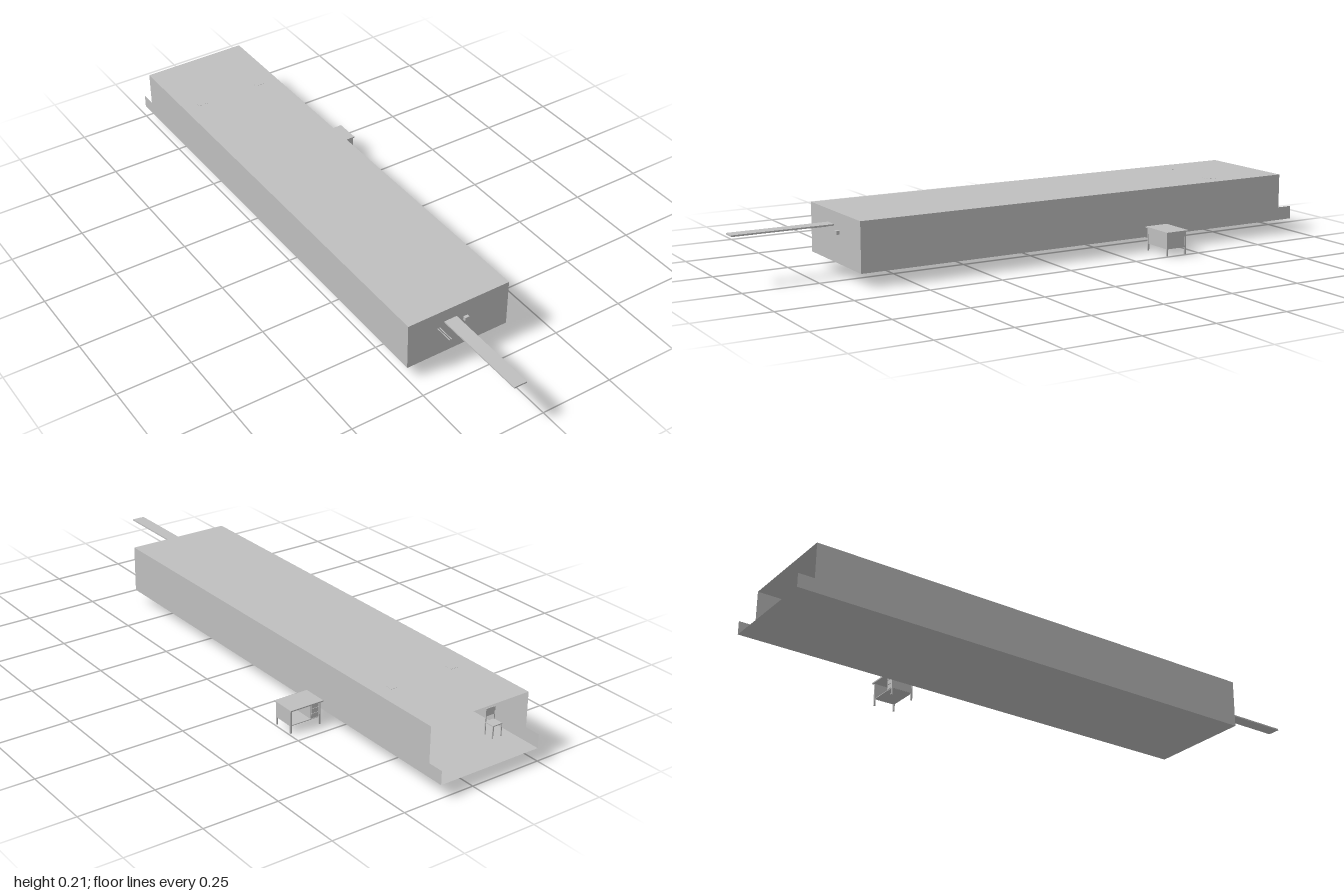
import * as THREE from 'three';

const grey = new THREE.MeshStandardMaterial({ color: 0xbfbfbf, side: THREE.DoubleSide });
grey.name = 'plain grey';

// Box given by its limits on each axis
function box(parent, name, [x0, x1], [y0, y1], [z0, z1]) {
  const mesh = new THREE.Mesh(new THREE.BoxGeometry(x1 - x0, y1 - y0, z1 - z0), grey);
  mesh.position.set((x0 + x1) / 2, (y0 + y1) / 2, (z0 + z1) / 2);
  mesh.name = name;
  parent.add(mesh);
}

// Single sheet from a flat outline
function sheet(parent, name, points) {
  const geo = new THREE.ShapeGeometry(new THREE.Shape(points.map(p => new THREE.Vector2(...p))));
  const mesh = new THREE.Mesh(geo, grey);
  mesh.name = name;
  parent.add(mesh);
  return mesh;
}

function group(parent, name) {
  const g = new THREE.Group();
  g.name = name;
  parent.add(g);
  return g;
}

const L = -0.249, R = 0.119, FLOOR = 0.043, ROOF = 0.205, FRONT = 0.665, BACK = -0.999, LIP = -0.945;

function buildHall(parent) {
  const hall = group(parent, 'hall');
  // Side walls step down to a low lip at the open back end
  for (const [name, x] of [['rightWall', L], ['leftWall', R]]) {
    const wall = sheet(hall, name, [[-FRONT, FLOOR], [-BACK, FLOOR], [-BACK, 0.088],
      [-LIP, 0.088], [-LIP, ROOF], [-FRONT, ROOF]]);
    wall.rotation.y = Math.PI / 2;
    wall.position.x = x;
  }
  sheet(hall, 'frontWall', [[L, FLOOR], [R, FLOOR], [R, ROOF], [L, ROOF]]).position.z = FRONT;
  // Floor and roof sheets
  for (const [name, y, back] of [['floor', FLOOR, BACK], ['roof', ROOF, LIP]]) {
    const s = sheet(hall, name, [[L, -FRONT], [R, -FRONT], [R, -back], [L, -back]]);
    s.rotation.x = -Math.PI / 2;
    s.position.y = y;
  }
  // Pillars inside, reaching just up to the roof
  for (const x of [-0.197, 0.031]) box(hall, 'pillar', [x, x + 0.036], [FLOOR, ROOF + 0.0005], [-0.706, -0.674]);
}

function buildFrontFittings(parent) {
  const fittings = group(parent, 'frontFittings');
  box(fittings, 'plank', [-0.118, -0.073], [0.158, 0.163], [FRONT, 1]);
  box(fittings, 'smallBox', [-0.048, -0.032], [0.137, 0.149], [FRONT, 0.675]);
  for (const x of [-0.141, -0.134]) box(fittings, 'rod', [x - 0.001, x + 0.001], [0.144, 0.146], [FRONT, 0.725]);
}

function buildDesk(parent) {
  const desk = group(parent, 'desk');
  box(desk, 'deskTop', [0.126, 0.248], [0.077, 0.081], [-0.459, -0.373]);
  for (const x of [0.132, 0.239])
    for (const z of [-0.453, -0.381]) box(desk, 'deskLeg', [x, x + 0.005], [0, 0.077], [z, z + 0.005]);
  // Body, open towards the back
  box(desk, 'deskFront', [0.136, 0.24], [0.024, 0.077], [-0.379, -0.377]);
  box(desk, 'deskBottom', [0.136, 0.24], [0.024, 0.026], [-0.45, -0.377]);
  for (const x of [0.133, 0.241]) box(desk, 'deskSide', [x, x + 0.002], [0.024, 0.077], [-0.45, -0.378]);
  // Drawers on one side
  box(desk, 'drawerCase', [0.135, 0.167], [0.026, 0.077], [-0.448, -0.379]);
  for (let i = 0; i < 3; i++) {
    const y = 0.028 + i * 0.0165;
    box(desk, 'drawerFront', [0.138, 0.165], [y, y + 0.0145], [-0.45, -0.448]);
  }
}

function buildChair(parent) {
  const chair = group(parent, 'chair');
  const y = FLOOR;
  box(chair, 'chairSeat', [-0.213, -0.177], [y + 0.04, y + 0.043], [-0.883, -0.847]);
  box(chair, 'chairBack', [-0.213, -0.177], [y + 0.06, y + 0.085], [-0.849, -0.847]);
  for (const x of [-0.213, -0.18])
    for (const [z, h] of [[-0.883, 0.04], [-0.85, 0.085]])
      box(chair, 'chairLeg', [x, x + 0.003], [y, y + h], [z, z + 0.003]);
}

export function createModel() {
  const model = new THREE.Group();
  model.name = 'model';
  buildHall(model);
  buildFrontFittings(model);
  buildDesk(model);
  buildChair(model);
  return model;
}
